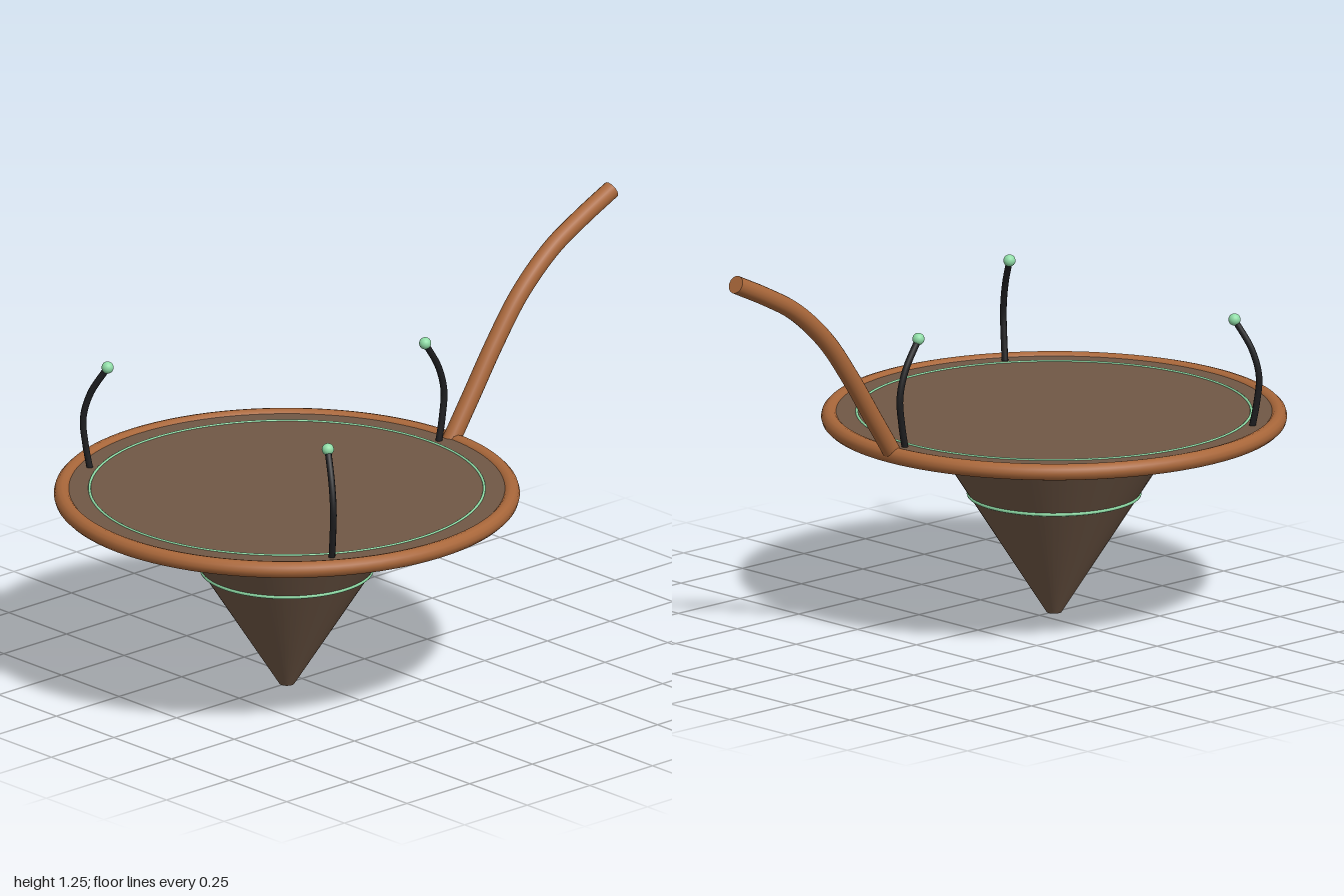
import * as THREE from 'three';

const CZ = 0.31; // centre of the round body along z

const mat = (color) => new THREE.MeshStandardMaterial({ color });
const brown = mat(0x705846);
const copper = mat(0xa9673a);
const green = mat(0x8fdca6);
const black = mat(0x1e1e20);

function add(parent, name, geometry, material, x = 0, y = 0, z = 0) {
  const mesh = new THREE.Mesh(geometry, material);
  mesh.name = name;
  mesh.position.set(x, y, z);
  parent.add(mesh);
  return mesh;
}

// Horizontal torus
const ring = (radius, tube, sides) =>
  new THREE.TorusGeometry(radius, tube, sides, 96).rotateX(Math.PI / 2);

// Solid tube along a smooth path of [x, y, z] points, with flat end caps
function rod(parent, name, points, radius, sides, material) {
  const curve = new THREE.CatmullRomCurve3(points.map((p) => new THREE.Vector3(...p)));
  add(parent, name, new THREE.TubeGeometry(curve, 40, radius, sides), material);
  for (const t of [0, 1]) {
    const cap = add(parent, name + 'End', new THREE.CircleGeometry(radius, sides), material);
    const p = curve.getPoint(t);
    cap.position.copy(p);
    cap.lookAt(p.clone().addScaledVector(curve.getTangent(t), t ? 1 : -1));
  }
}

export function createModel() {
  const model = new THREE.Group();
  model.name = 'spinningTop';

  const body = new THREE.Group();
  body.name = 'body';
  body.position.z = CZ;
  model.add(body);

  // Cone, disc and rim
  add(body, 'cone', new THREE.CylinderGeometry(0.386, 0.022, 0.572, 64), brown, 0, 0.286, 0);
  add(body, 'disc', new THREE.CylinderGeometry(0.66, 0.66, 0.04, 96), brown, 0, 0.59, 0);
  add(body, 'rim', ring(0.66, 0.025, 12), copper, 0, 0.595, 0);

  // Thin inlaid rings
  add(body, 'coneRing', ring(0.251, 0.006, 8), green, 0, 0.36, 0);
  add(body, 'discRing', ring(0.58, 0.004, 8), green, 0, 0.61, 0);

  // Three curved stalks with a bead on top, evenly spaced with one at the back
  for (let i = 0; i < 3; i++) {
    const stalk = new THREE.Group();
    stalk.name = 'stalk' + (i + 1);
    stalk.rotation.y = (i * Math.PI * 2) / 3;
    body.add(stalk);
    const path = [[0, 0.6, -0.605], [0, 0.68, -0.62], [0, 0.76, -0.627],
      [0, 0.84, -0.605], [0, 0.925, -0.553]];
    rod(stalk, 'stem', path, 0.01, 8, black);
    add(stalk, 'bead', new THREE.SphereGeometry(0.018, 20, 14), green, 0, 0.927, -0.552);
  }

  // Curved handle rising from the back of the rim
  rod(model, 'handle', [[0, 0.59, -0.34], [0, 0.72, -0.427], [0, 0.86, -0.52],
    [0, 0.99, -0.62], [0, 1.1, -0.745], [0, 1.165, -0.86], [0, 1.225, -0.985]],
  0.027, 16, copper);

  return model;
}
